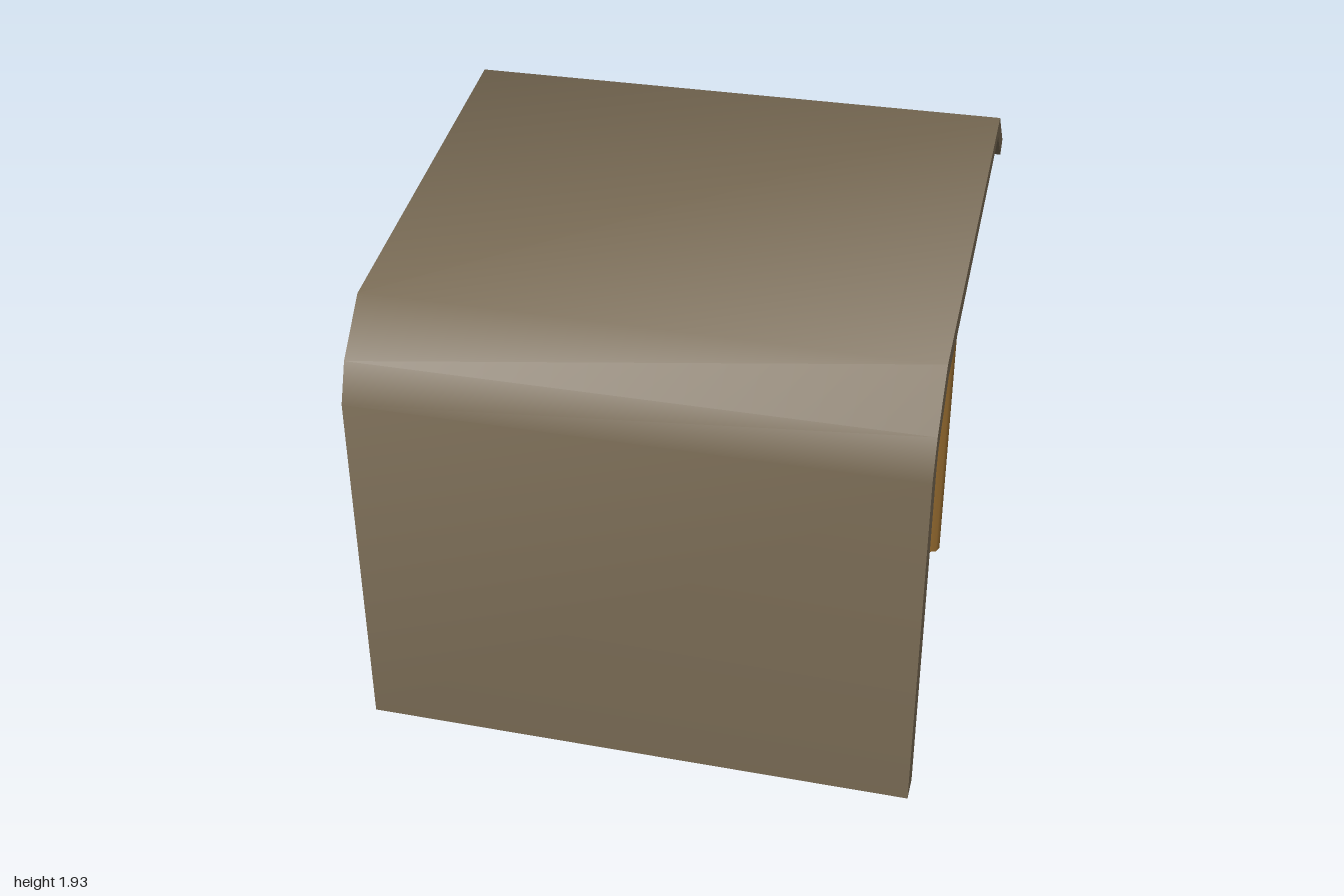
import * as THREE from 'three';
import { toCreasedNormals } from 'three/addons/utils/BufferGeometryUtils.js';

export function createModel() {
  const model = new THREE.Group();
  model.name = 'marketStall';

  const mat = (name, color, opts = {}) => {
    const m = new THREE.MeshStandardMaterial({ color, ...opts });
    m.name = name;
    return m;
  };
  const canvas = mat('greyBrown', 0x766852, { side: THREE.DoubleSide });
  const wood = mat('wood', 0x8c642c, { side: THREE.DoubleSide });
  const red = mat('redFruit', 0xd9525c, { flatShading: true });
  const green = mat('greenFruit', 0x06dc12, { flatShading: true });

  const add = (name, geometry, material, x = 0, y = 0, z = 0, parent = model) => {
    const mesh = new THREE.Mesh(geometry, material);
    mesh.name = name;
    mesh.position.set(x, y, z);
    parent.add(mesh);
    return mesh;
  };

  // Back wall bending over into the roof: one (z, y) outline swept across x
  const outline = [
    [0.905, 0], [0.905, 1.34], [0.85, 1.48], [0.69, 1.655], [-0.67, 1.93], [-0.9, 1.745],
    [-0.86, 1.7], [-0.655, 1.86], [0.63, 1.575], [0.79, 1.4], [0.805, 1.33], [0.805, 0],
  ].map(([z, y]) => new THREE.Vector2(z, y));
  const roof = new THREE.ExtrudeGeometry(new THREE.Shape(outline), { depth: 2, bevelEnabled: false });
  roof.rotateY(-Math.PI / 2).translate(1, 0, 0);
  add('wallAndRoof', toCreasedNormals(roof, 1.0), canvas);

  // Posts under the roof ridge
  for (const side of [1, -1]) {
    add(side > 0 ? 'leftPost' : 'rightPost',
      new THREE.CylinderGeometry(0.038, 0.038, 1.86, 8), wood, side * 0.875, 0.93, -0.617);
  }

  // Counter: a box open at the bottom, with an overhanging top
  const sides = new THREE.CylinderGeometry(Math.SQRT1_2, Math.SQRT1_2, 1, 4, 1, true);
  sides.rotateY(Math.PI / 4).scale(1.44, 0.72, 0.675);
  add('counterSides', toCreasedNormals(sides, 0.5), wood, 0, 0.36, -0.4175);
  add('counterTop', new THREE.BoxGeometry(1.6, 0.055, 0.895), wood, 0, 0.7475, -0.3425);

  // Skewed display crate, open on one side; u and v run along its two edges
  const crate = new THREE.Group();
  crate.name = 'crate';
  model.add(crate);
  const skew = new THREE.Matrix4().set(
    0.5, 0, 0.09, 0.19,
    0, 1, 0, 0,
    -0.24, 0, 0.43, -0.61,
    0, 0, 0, 1);
  const board = (name, u0, u1, y0, y1, v0, v1) => {
    const g = new THREE.BoxGeometry(u1 - u0, y1 - y0, v1 - v0);
    g.translate((u0 + u1) / 2, (y0 + y1) / 2, (v0 + v1) / 2).applyMatrix4(skew);
    add(name, g, wood, 0, 0, 0, crate);
  };
  board('crateBase', -0.01, 1.01, 0.775, 0.81, -0.01, 1.01);
  board('crateInnerEnd', 0, 0.04, 0.81, 0.94, 0, 1);
  board('crateOuterEnd', 0.96, 1, 0.81, 0.94, 0, 1);
  board('crateBack', 0.04, 0.96, 0.81, 0.94, 0, 0.045);

  // Fruit
  const fruitGeometry = new THREE.SphereGeometry(0.075, 6, 4).scale(1, 1.1, 1);
  [[0.375, -0.43, red], [0.475, -0.56, red], [0.6, -0.45, green]].forEach(([x, z, m], i) => {
    const fruit = add('fruit', fruitGeometry, m, x, 0.89, z);
    fruit.rotation.set(0.15 * (i - 1), 0.7 * i, 0.12);
  });

  // Loaves leaning on the back of the crate
  const up = new THREE.Vector3(0, 1, 0);
  [[0.575, 0], [0.62, 0.015], [0.66, 0.01]].forEach(([x, lift]) => {
    const from = new THREE.Vector3(x - 0.02, 0.84, -0.54);
    const to = new THREE.Vector3(x, 1.015 + lift, -0.805 - lift);
    const dir = to.clone().sub(from);
    const loaf = add('loaf', new THREE.CapsuleGeometry(0.025, dir.length() - 0.03, 2, 6), wood);
    loaf.position.copy(from).lerp(to, 0.5);
    loaf.quaternion.setFromUnitVectors(up, dir.normalize());
  });

  // Goblets with hollow bowls
  const profile = [
    [0, 0], [0.07, 0], [0.07, 0.01], [0.03, 0.028], [0.014, 0.05], [0.014, 0.18], [0.035, 0.205],
    [0.063, 0.25], [0.071, 0.29], [0.075, 0.38], [0.068, 0.38], [0.062, 0.28], [0.03, 0.22], [0, 0.205],
  ].map(([r, y]) => new THREE.Vector2(r, y));
  const gobletGeometry = toCreasedNormals(new THREE.LatheGeometry(profile, 10), 0.9);
  for (const [x, z] of [[-0.71, -0.105], [-0.27, -0.36], [-0.445, -0.615]]) {
    add('goblet', gobletGeometry, canvas, x, 0.775, z);
  }

  return model;
}
